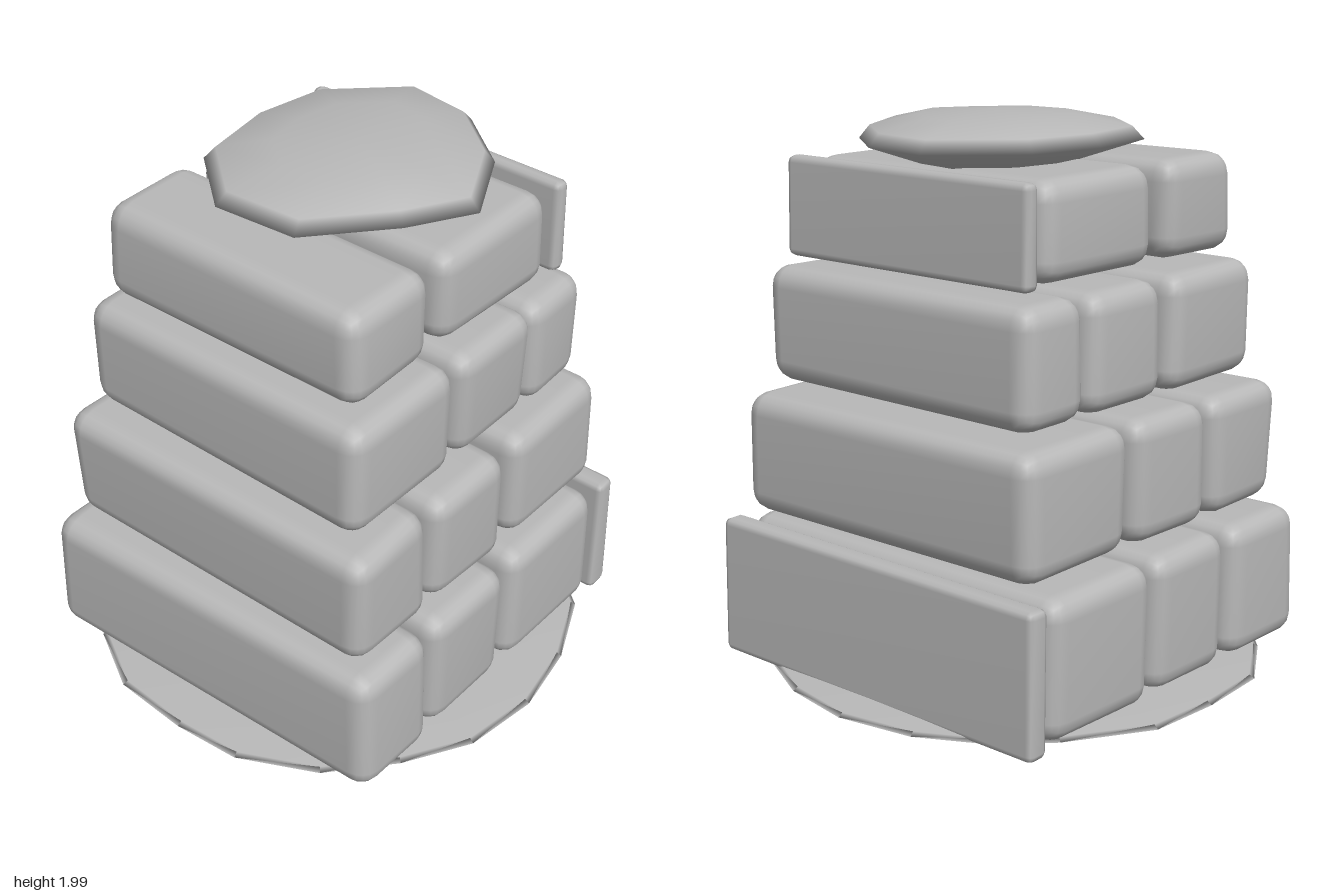
import * as THREE from 'three';
import { mergeVertices } from 'three/addons/utils/BufferGeometryUtils.js';
import { RoundedBoxGeometry } from 'three/addons/geometries/RoundedBoxGeometry.js';

const stone = new THREE.MeshStandardMaterial({ color: 0xb8b8b8 });
stone.name = 'grey stone';

// small seeded generator for the uneven corners
let seed = 7;
const random = () => {
  seed = (seed * 16807) % 2147483647;
  return seed / 2147483647;
};

// welds the corners and shades the surface smoothly
function smoothMesh(name, geometry) {
  geometry.deleteAttribute('normal');
  geometry.deleteAttribute('uv');
  geometry.clearGroups();
  const welded = mergeVertices(geometry, 1e-4);
  welded.computeVertexNormals();
  const mesh = new THREE.Mesh(welded, stone);
  mesh.name = name;
  return mesh;
}

// long rounded stone with x ranges for its front and back ends
function makeBlock(name, front, back, y0, y1, zFront, zBack) {
  const w = front[1] - front[0], h = y1 - y0, d = zFront - zBack;
  const thin = w < 0.15;
  const g = new RoundedBoxGeometry(w, h, d, thin ? 1 : 2, thin ? 0.025 : 0.08);
  // eight slightly pushed-in corners, blended through the block
  const push = Array.from({ length: 8 }, () =>
    [0, 1, 2].map(() => random() * (thin ? 0.01 : 0.02)));
  const p = g.attributes.position;
  for (let i = 0; i < p.count; i++) {
    const u = p.getX(i) / w + 0.5, v = p.getY(i) / h + 0.5, t = p.getZ(i) / d + 0.5;
    const off = [0, 0, 0];
    for (let c = 0; c < 8; c++) {
      const s = [c & 1, (c >> 1) & 1, c >> 2];
      const k = (s[0] ? u : 1 - u) * (s[1] ? v : 1 - v) * (s[2] ? t : 1 - t);
      for (let a = 0; a < 3; a++) off[a] += k * push[c][a] * (s[a] ? -1 : 1) * (a === 1 ? 0.4 : 1);
    }
    const left = THREE.MathUtils.lerp(back[0], front[0], t);
    const right = THREE.MathUtils.lerp(back[1], front[1], t);
    p.setXYZ(i, THREE.MathUtils.lerp(left, right, u) + off[0],
      y0 + v * h + off[1], zBack + t * d + off[2]);
  }
  return smoothMesh(name, g);
}

// closed round stone: an outline [x, z] repeated in rings of [scale, y], bottom to top
function makeDisc(name, outline, rings, centre) {
  const pos = [], index = [], n = outline.length;
  for (const [s, y] of rings) {
    for (const [x, z] of outline) {
      pos.push(centre[0] + (x - centre[0]) * s, y, centre[1] + (z - centre[1]) * s);
    }
  }
  for (let r = 0; r < rings.length - 1; r++) {
    for (let i = 0; i < n; i++) {
      const a = r * n + i, b = r * n + (i + 1) % n;
      // skip the collapsed halves at the two poles
      if (r < rings.length - 2) index.push(a + n, b + n, b);
      else index.push(a, a + n, b);
      if (r > 0 && r < rings.length - 2) index.push(a, a + n, b);
    }
  }
  const g = new THREE.BufferGeometry();
  g.setAttribute('position', new THREE.Float32BufferAttribute(pos, 3));
  g.setIndex(index);
  return smoothMesh(name, g);
}

export function createModel() {
  const group = new THREE.Group();
  group.name = 'stackedStones';

  // flat ground stone
  const base = [[-0.29, -0.89], [0, -0.91], [0.28, -0.89], [0.57, -0.71], [0.73, -0.55],
    [0.86, -0.31], [0.91, -0.02], [0.86, 0.26], [0.72, 0.54], [0.55, 0.74], [0.28, 0.86],
    [0, 0.91], [-0.29, 0.87], [-0.53, 0.73], [-0.75, 0.54], [-0.89, 0.26], [-0.91, 0],
    [-0.89, -0.3], [-0.75, -0.55], [-0.55, -0.73]].reverse();
  group.add(makeDisc('groundStone', base.reverse(),
    [[0, 0.008], [0.6, 0.01], [1, 0.018], [0.98, 0.03], [0.6, 0.05], [0, 0.055]], [0, 0]));

  // courses: height range, z ends, then [front x range, back x range] of every stone
  const courses = [
    { y: [0.013, 0.525], z: [0.74, -0.755], blocks: [
      [[-0.75, -0.35], [-0.79, -0.35]], [[-0.35, 0.09], [-0.34, 0.1]],
      [[0.1, 0.66], [0.1, 0.65]], [[0.66, 0.76], [0.67, 0.77]]] },
    { y: [0.55, 1.005], z: [0.68, -0.69], blocks: [
      [[-0.71, -0.3], [-0.72, -0.29]], [[-0.29, 0.13], [-0.29, 0.14]],
      [[0.15, 0.71], [0.14, 0.71]]] },
    { y: [1.035, 1.46], z: [0.615, -0.635], blocks: [
      [[-0.65, -0.1], [-0.64, -0.11]], [[-0.1, 0.33], [-0.09, 0.32]],
      [[0.31, 0.64], [0.32, 0.64]]] },
    { y: [1.485, 1.84], z: [0.55, -0.57], blocks: [
      [[-0.58, -0.15], [-0.58, -0.16]], [[-0.12, 0.49], [-0.12, 0.48]],
      [[0.5, 0.575], [0.505, 0.575]]] },
  ];
  courses.forEach((c, row) => {
    const course = new THREE.Group();
    course.name = `course${row + 1}`;
    c.blocks.forEach(([front, back], i) => course.add(
      makeBlock(`stone${i + 1}`, front, back, c.y[0], c.y[1], c.z[0], c.z[1])));
    group.add(course);
  });

  // domed cap stone
  const cap = [[-0.2, -0.43], [0.1, -0.48], [0.39, -0.43], [0.64, -0.17], [0.6, 0.1],
    [0.41, 0.34], [0.11, 0.5], [-0.12, 0.37], [-0.39, 0.14], [-0.41, -0.18]];
  group.add(makeDisc('capStone', cap,
    [[0, 1.805], [0.55, 1.825], [1, 1.9], [0.92, 1.945], [0.55, 1.985], [0, 2]], [0.1, 0]));

  return group;
}
